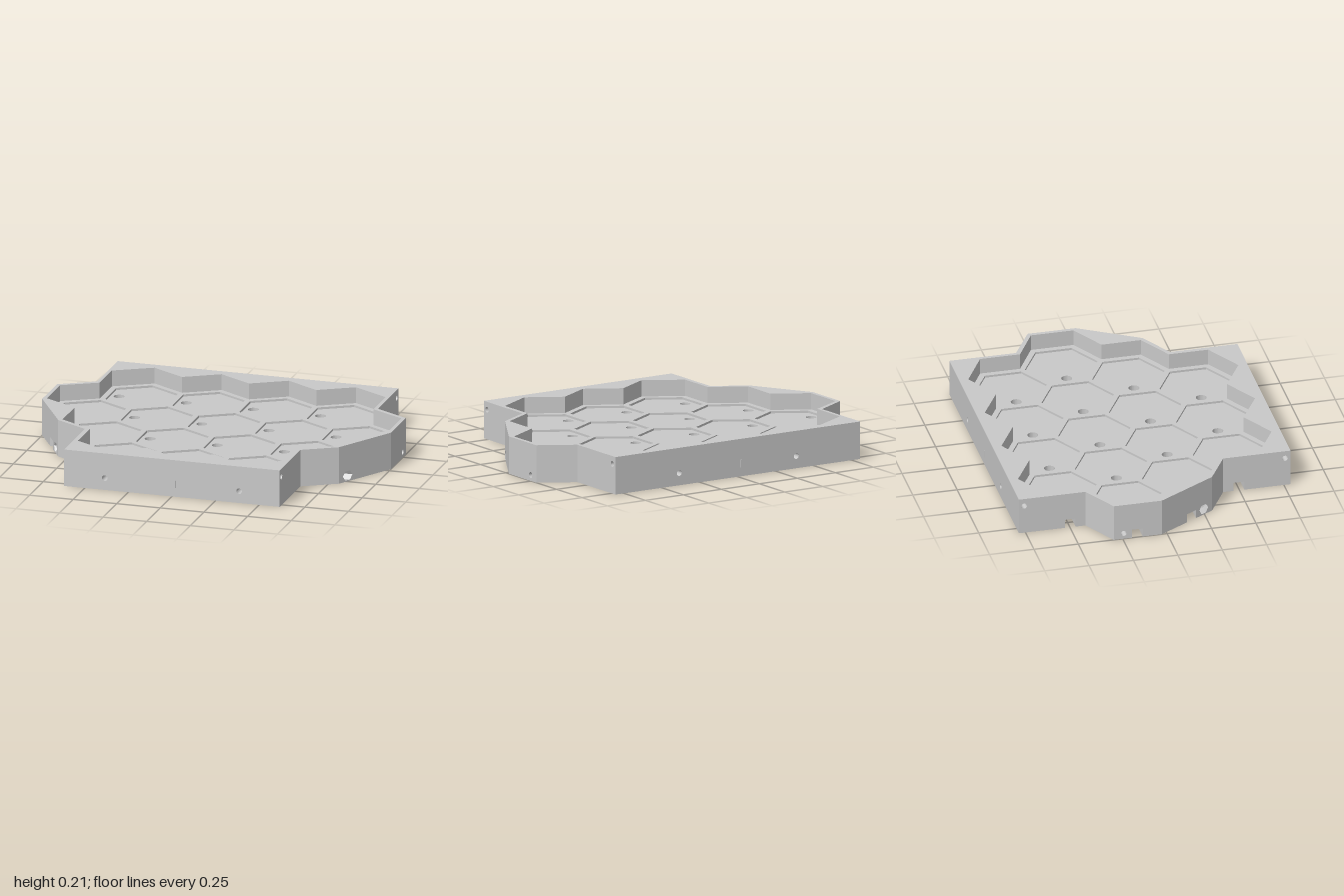
import * as THREE from 'three';

const H = 0.21, CHANNEL_H = 0.05, POCKET_H = 0.09, FLOOR = 0.107, RIDGE = 0.119;
const PITCH = 0.385, CHANNEL_W = 0.03;
const ROWS = [[-0.498, 4], [-0.167, 5], [0.165, 4], [0.497, 3]]; // z, number of cells

// all 2D points are [x, z]
const mirrorLoop = (half) => [...half, ...half.slice().reverse().map(([x, z]) => [-x, z])];
const at = (loop, y) => loop.map(([x, z]) => new THREE.Vector3(x, y, z));
const shift = (loop, cx, cz) => loop.map(([x, z]) => [x + cx, z + cz]);
const ngon = (n, r, start = 0) => Array.from({ length: n }, (_, i) => {
  const a = start + (i / n) * Math.PI * 2;
  return [Math.cos(a) * r, Math.sin(a) * r];
});

function shapeOf(points, holes = []) {
  const vec = (l) => l.map(([x, y]) => new THREE.Vector2(x, y));
  const s = new THREE.Shape(vec(points));
  s.holes = holes.map((h) => new THREE.Path(vec(h)));
  return new THREE.ShapeGeometry(s);
}

// horizontal face with holes, facing up or down
function cap(points, holes, y, up) {
  const k = up ? -1 : 1;
  const f = (l) => l.map(([x, z]) => [x, k * z]);
  return shapeOf(f(points), holes.map(f)).rotateX((k * Math.PI) / 2).translate(0, y, 0);
}

// wall between two matching closed 3D loops, facing the inside of the cavity
function cavity(A, B) {
  const n = A.length, area = new THREE.Vector3(), d = new THREE.Vector3(), tmp = new THREE.Vector3();
  for (let i = 0; i < n; i++) {
    area.add(tmp.crossVectors(A[i], A[(i + 1) % n]));
    d.add(B[i]).sub(A[i]);
  }
  const flip = area.dot(d) > 0, pts = [];
  for (let i = 0; i < n; i++) {
    const j = (i + 1) % n;
    const q = flip ? [A[i], B[i], B[j], A[j]] : [A[i], A[j], B[j], B[i]];
    pts.push(q[0], q[1], q[2], q[0], q[2], q[3]);
  }
  const g = new THREE.BufferGeometry().setFromPoints(pts);
  g.computeVertexNormals();
  return g;
}

export function createModel() {
  const group = new THREE.Group();
  const grey = new THREE.MeshStandardMaterial({ color: 0xc9c9c9 });
  grey.name = 'matte grey';
  const add = (name, geometry) => {
    const m = new THREE.Mesh(geometry, grey);
    m.name = name;
    group.add(m);
    return m;
  };

  // outline of the tray and of the deep recess
  const outline = mirrorLoop([[0.618, 0.788], [0.618, 0.408], [0.805, 0.3], [1, -0.03], [1, -0.3],
    [0.805, -0.413], [0.805, -0.788]]);
  const rightRecess = [[0.1925, 0.6215], [0.385, 0.7325], [0.593, 0.6125], [0.593, 0.391],
    [0.785, 0.28], [0.785, 0.059], [0.978, -0.0525], [0.978, -0.2925], [0.785, -0.4],
    [0.785, -0.625], [0.577, -0.742], [0.385, -0.631], [0.1925, -0.742]];
  const recess = shift([[0, 0.7325], ...rightRecess, [0, -0.631],
    ...rightRecess.reverse().map(([x, z]) => [-x, z])], 0, 0.005);

  // cells, wire holes and underside pockets
  const cell = ngon(6, 0.204, Math.PI / 6);
  const pocketSide = [[-0.097, -0.056], [-0.02, -0.1005], [0.02, -0.1005], [0.097, -0.056]];
  const pocket = [...pocketSide, ...pocketSide.map(([x, z]) => [-x, -z])];
  const cells = [], wireHoles = [], pockets = [];
  for (const [z, n] of ROWS) {
    for (let i = 0; i < n; i++) {
      const x = (i - (n - 1) / 2) * PITCH;
      cells.push(shift(cell, x, z));
      pockets.push(shift(pocket, x, z));
      wireHoles.push(shift(ngon(24, 0.03), x - 0.128, z));
    }
  }

  // bores: k = coordinate that stays fixed (0: x, bore along z; 1: z, bore along x)
  const bores = [[0, 0.385, 0.068], [0, -0.385, 0.068], [1, 0.757, 0.166], [1, -0.757, 0.166],
    [1, -0.2445, 0.033], [1, 0.245, 0.033, true]].map(([k, c, y, nut]) => ({ k, c, y, nut, ends: [] }));
  const boreLoop = (b, hex) => ngon(24, 1).map(([p, q], i) => {
    const a = ((i % 4) / 4) * (Math.PI / 3) - Math.PI / 6;
    const r = hex ? 0.026 / Math.cos(a) : 0.016;
    return [b.c + p * r, b.y + q * r];
  });

  // upright wall from a to b, pierced by the bores that meet it, with notches [u0, u1] at its foot
  function panel(name, a, b, top, notches = [], outer = false) {
    const dx = b[0] - a[0], dz = b[1] - a[1], len = Math.hypot(dx, dz), holes = [];
    for (const bore of bores) {
      const d = bore.k ? dz : dx, t0 = (bore.c - a[bore.k]) / d;
      if (Math.abs(d) < 0.01 || t0 <= 0 || t0 >= 1 || bore.y > top) continue;
      if (top === CHANNEL_H) continue;
      const loop = boreLoop(bore, outer && bore.nut).map(([c, y]) => [(c - a[bore.k]) / d, y]);
      holes.push(loop.map(([t, y]) => [t * len, y]));
      bore.ends.push(loop.map(([t, y]) => new THREE.Vector3(a[0] + dx * t, y, a[1] + dz * t)));
    }
    const foot = notches.flatMap(([u, v]) => [[u, 0], [u, CHANNEL_H], [v, CHANNEL_H], [v, 0]]);
    const basis = new THREE.Matrix4().makeBasis(new THREE.Vector3(dx / len, 0, dz / len),
      new THREE.Vector3(0, 1, 0), new THREE.Vector3(-dz / len, 0, dx / len)).setPosition(a[0], 0, a[1]);
    add(name, shapeOf([[0, 0], ...foot, [len, 0], [len, top], [0, top]], holes).applyMatrix4(basis));
  }

  // one row of hexagonal pockets joined by a cable channel; returns its outline on the underside
  function pocketRow(z, n, exitBack, exitFront) {
    const w = CHANNEL_W, side = [];
    let back = exitBack, front = exitFront;
    for (let i = 0; i < n; i++) {
      const x = (i - (n - 1) / 2) * PITCH, loop = shift(pocket, x, z);
      panel('channelWall', [back, z - w], [x - 0.097, z - w], CHANNEL_H);
      panel('channelWall', [x - 0.097, z + w], [front, z + w], CHANNEL_H);
      back = front = x + 0.097;
      loop.forEach((p, e) => {
        const q = loop[(e + 1) % loop.length];
        const open = Math.abs(q[0] - p[0]) < 0.001 && (p[0] < x || i < n - 1);
        panel('pocketWall', p, q, POCKET_H, open ? [[0.056 - w, 0.056 + w]] : []);
      });
      side.push([x - 0.097, -w], ...shift(pocketSide, x, 0), [x + 0.097, -w]);
    }
    return [[exitBack, z - w], ...side.map(([x, o]) => [x, z + o]),
      ...side.reverse().map(([x, o]) => [x, z - o]), [exitFront, z + w]];
  }

  // outer walls, with the channel exits on one side
  const bottom = [];
  outline.forEach((a, e) => {
    const b = outline[(e + 1) % outline.length];
    const dx = b[0] - a[0], dz = b[1] - a[1], len = Math.hypot(dx, dz), notches = [];
    bottom.push(a);
    for (const [z, n] of ROWS) {
      if (dz <= 0.01 || z <= a[1] || z >= b[1]) continue;
      const t = [-1, 1].map((s) => (z + s * CHANNEL_W - a[1]) / dz);
      bottom.push(...pocketRow(z, n, a[0] + dx * t[0], a[0] + dx * t[1]));
      notches.push(t.map((v) => v * len));
    }
    panel('outerWall', a, b, H, notches, true);
  });

  // bore linings between the walls they pierce, with hexagonal nut seats at the ends where needed
  for (const b of bores) {
    const axis = b.k ? 0 : 2;
    b.ends.sort((p, q) => p[0].getComponent(axis) - q[0].getComponent(axis));
    const ends = b.ends.map((loop, i) => {
      if (!b.nut || (i > 0 && i < b.ends.length - 1)) return loop;
      const s = Math.sign(loop[0].x);
      const seat = boreLoop(b, true).map(([c, y]) => new THREE.Vector3(s * 0.77, y, c));
      const inner = boreLoop(b, false).map(([c, y]) => new THREE.Vector3(s * 0.767, y, c));
      add('nutSeat', cavity(loop, seat));
      add('nutSeatBase', cavity(seat, inner));
      return inner;
    });
    for (let i = 0; i + 1 < ends.length; i += 2) add('bore', cavity(ends[i], ends[i + 1]));
  }

  // horizontal faces from the underside to the rim
  add('underside', cap(bottom, [], 0, false));
  add('channelCeiling', cap(outline, [...pockets, ...wireHoles], CHANNEL_H, false));
  add('cellFloor', cap(outline, wireHoles, FLOOR, true));
  add('cellRidges', cap(outline, cells, RIDGE, true));
  add('rim', cap(outline, [recess], H, true));

  // vertical walls of the recess, cells and wire holes, and the pocket ceilings
  add('recessWall', cavity(at(recess, RIDGE), at(recess, H)));
  cells.forEach((c, i) => {
    add('cellWall', cavity(at(c, FLOOR), at(c, RIDGE)));
    add('pocketCeiling', cap(pockets[i], [], POCKET_H, false));
    add('wireHole', cavity(at(wireHoles[i], CHANNEL_H), at(wireHoles[i], FLOOR)));
  });

  // small alignment marks on the front and back
  for (const s of [1, -1]) {
    add('alignmentMark', new THREE.BoxGeometry(0.005, 0.045, 0.006)).position.set(0.02 * s, 0.073, 0.788 * s);
  }
  return group;
}
